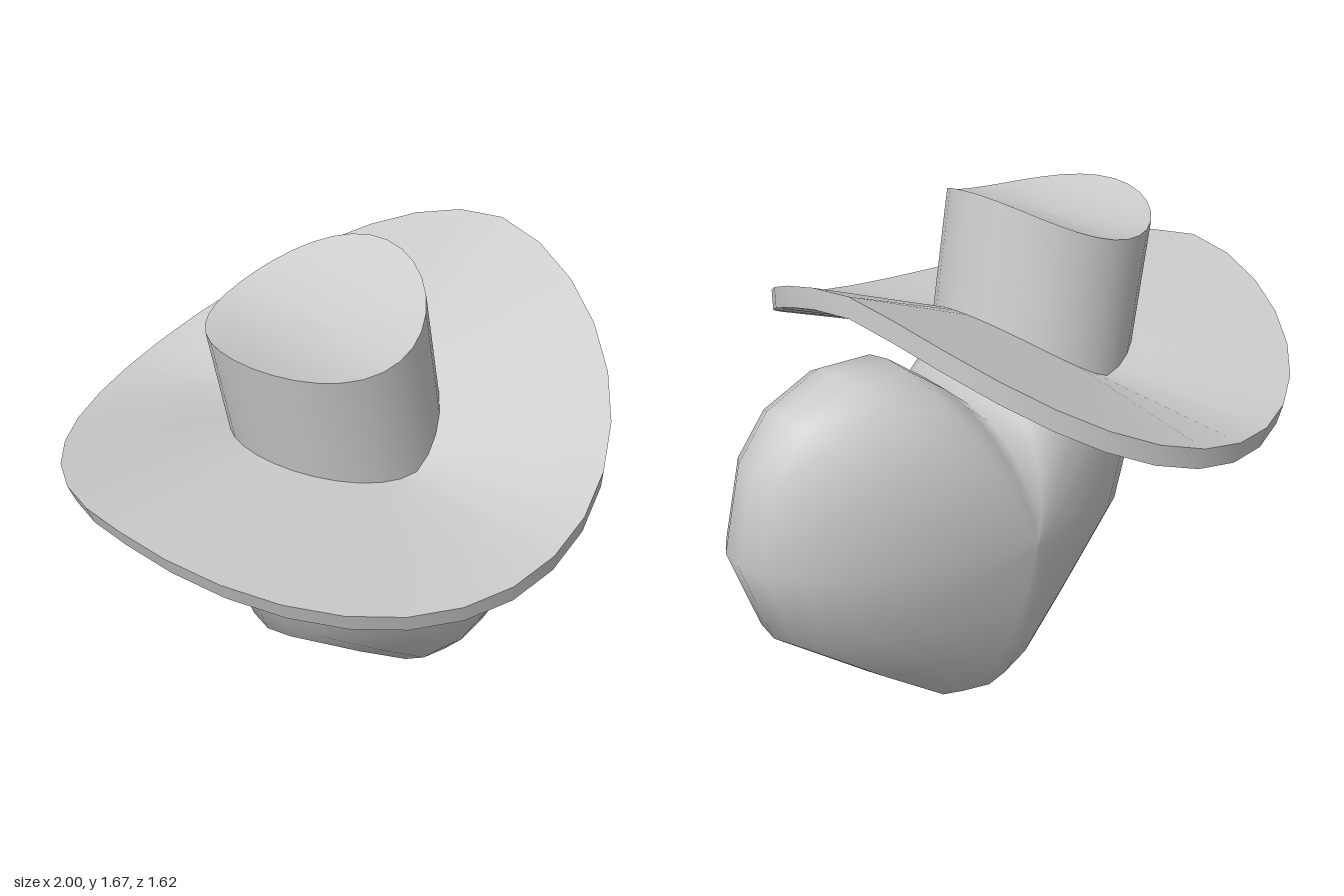
import * as THREE from 'three';

const material = new THREE.MeshStandardMaterial({ color: 0xcccccc });
const SEG = 32;

// Skin closed rings of points in order; normals are smooth within one skin
function loft(name, rings) {
  const n = rings[0].length, index = [];
  for (let k = 0; k < rings.length - 1; k++) {
    for (let i = 0; i < n; i++) {
      const j = (i + 1) % n;
      const a = k * n + i, b = k * n + j, c = a + n, d = b + n;
      index.push(a, b, c, b, d, c);
    }
  }
  const geometry = new THREE.BufferGeometry();
  geometry.setAttribute('position', new THREE.Float32BufferAttribute(rings.flat(2), 3));
  geometry.setIndex(index);
  geometry.computeVertexNormals();
  const mesh = new THREE.Mesh(geometry, material);
  mesh.name = name;
  return mesh;
}

// Horizontal circle whose height follows a rule of the angle
function ring(radius, height) {
  return Array.from({ length: SEG }, (_, i) => {
    const t = (i / SEG) * Math.PI * 2;
    return [radius * Math.cos(t), height(t), -radius * Math.sin(t)];
  });
}

function makeHat() {
  const hat = new THREE.Group();
  hat.name = 'hat';
  const R = 0.81, r = 0.312, thick = 0.065;

  // Brim and crown base droop at front and back
  const rimY = t => -0.31 * Math.abs(Math.sin(t)) ** 1.6;
  const baseY = t => -0.125 - 0.145 * (1 - Math.abs(Math.cos(t)) ** 1.3);
  const capY = x => 0.235 - 0.08 * (1 - (x / r) ** 2);
  const lower = f => t => f(t) - thick;

  const rimTop = ring(R, rimY), rimBottom = ring(R - 0.01, lower(rimY));
  const baseTop = ring(r, baseY), baseBottom = ring(r, lower(baseY));
  const capRings = [1, 0.75, 0.5, 0.25, 0].map(s =>
    ring(r * s, t => capY(r * s * Math.cos(t))));

  hat.add(
    loft('brimTop', [rimTop, baseTop]),
    loft('brimEdge', [rimBottom, rimTop]),
    loft('brimUnderside', [baseBottom, rimBottom]),
    loft('brimOpening', [baseTop, baseBottom]),
    loft('crownSide', [baseTop, capRings[0]]),
    loft('crownTop', capRings),
  );
  hat.position.set(-0.205, 1.38, 0);
  hat.rotation.z = 0.185;
  return hat;
}

function makeHeart() {
  // Right half of the outline, from the bottom tip up to the cleft
  const half = [
    [0, -0.7], [0.13, -0.66], [0.37, -0.46], [0.7, -0.17], [0.8, 0.13], [0.73, 0.4],
    [0.62, 0.53], [0.43, 0.6], [0.24, 0.58], [0.1, 0.47], [0, 0.38],
  ];
  const outline = [...half, ...half.slice(1, -1).reverse().map(([x, y]) => [-x, y])];

  // Outline shrinks towards a rounded front and back
  const rings = [], steps = 14;
  for (let k = 0; k <= steps; k++) {
    const a = (k / steps - 0.5) * Math.PI;
    const c = Math.cos(a), z = 0.355 * Math.sin(a);
    rings.push(outline.map(([x, y]) => {
      const px = (x < 0 ? 0.975 : 1) * x * c;
      return [px, y * c, z + 0.07 * Math.max(px, 0)];
    }));
  }
  const heart = loft('heart', rings);
  heart.position.set(0.2, 0.7, 0);
  return heart;
}

export function createModel() {
  const model = new THREE.Group();
  model.name = 'heartWithHat';
  model.add(makeHeart(), makeHat());
  return model;
}
